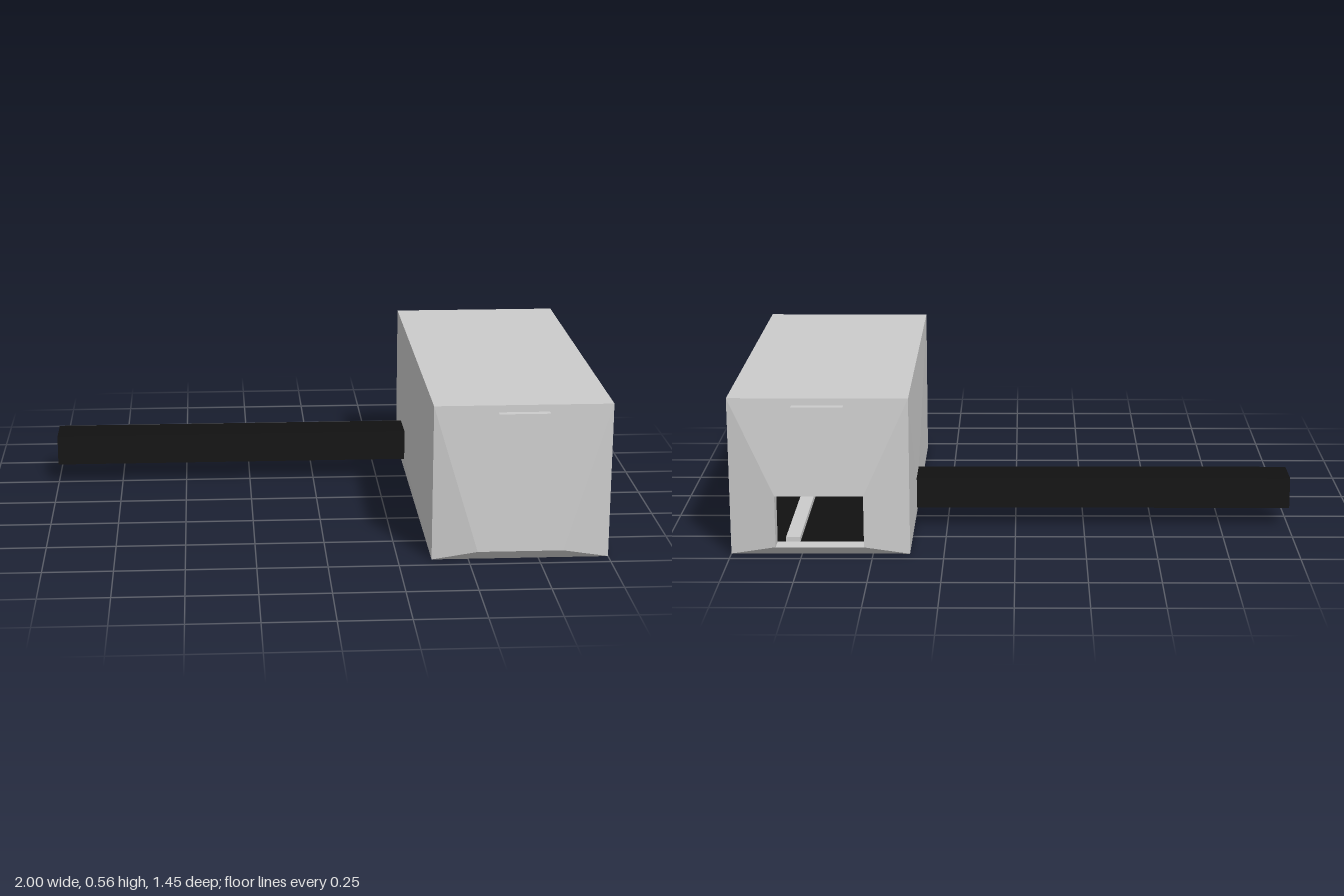
import * as THREE from 'three';

const GREY = 0xcccccc, BLACK = 0x111111, BLUE = 0x5548cc;

const material = (color) => new THREE.MeshStandardMaterial({ color, flatShading: true, side: THREE.DoubleSide });

// Sheet of flat quads; each face is four corners, anticlockwise from outside
function sheet(name, faces) {
  const pos = [];
  for (const [a, b, c, d] of faces) pos.push(...a, ...b, ...c, ...a, ...c, ...d);
  const g = new THREE.BufferGeometry();
  g.setAttribute('position', new THREE.Float32BufferAttribute(pos, 3));
  g.computeVertexNormals();
  const mesh = new THREE.Mesh(g, material(GREY));
  mesh.name = name;
  return mesh;
}

// Four quads joining an outer rectangle to an inner one
const ring = (outer, inner) => outer.map((p, i) => {
  const j = (i + 1) % 4;
  return [p, outer[j], inner[j], inner[i]];
});

function block(name, color, [x0, x1], [y0, y1], [z0, z1]) {
  const mesh = new THREE.Mesh(new THREE.BoxGeometry(x1 - x0, y1 - y0, z1 - z0), material(color));
  mesh.position.set((x0 + x1) / 2, (y0 + y1) / 2, (z0 + z1) / 2);
  mesh.name = name;
  return mesh;
}

export function createModel() {
  const model = new THREE.Group();
  const L = 0.37, R = 1, H = 0.565, D = 0.695;
  const armY = [0.075, 0.188], armZ = [-0.387, -0.237];

  // Rectangles across z and across x, listed anticlockwise from outside
  const backRect = (x0, x1, y0, y1, z) => [[x1, y0, z], [x0, y0, z], [x0, y1, z], [x1, y1, z]];
  const leftRect = (x, y0, y1, z0, z1) => [[x, y0, z0], [x, y0, z1], [x, y1, z1], [x, y1, z0]];

  // Plain walls of the hollow housing
  model.add(
    sheet('roof', [[[L, H, D], [R, H, D], [R, H, -D], [L, H, -D]]]),
    sheet('floor', [[[L, 0, -D], [R, 0, -D], [R, 0, D], [L, 0, D]]]),
    sheet('plainSide', [[[R, 0, D], [R, 0, -D], [R, H, -D], [R, H, D]]]),
  );

  // Front wall, pushed out along a low crease
  const a = [0.53, 0.035, 0.722], b = [0.835, 0.035, 0.722];
  model.add(sheet('frontPanel', ring(
    [[L, 0, D], [R, 0, D], [R, H, D], [L, H, D]], [a, b, b, a])));

  // Back wall sloping out to its opening, with a short inward sleeve
  const rim = backRect(0.53, 0.84, 0.033, 0.22, -0.724);
  model.add(
    sheet('backPanel', ring(backRect(L, R, 0, H, -D), rim)),
    sheet('openingSleeve', ring(rim, backRect(0.53, 0.84, 0.033, 0.22, -0.66))),
  );

  // Side wall sloping out to meet the arm
  model.add(
    sheet('armPanel', ring(leftRect(L, 0, H, -D, D), leftRect(0.36, ...armY, ...armZ))),
    block('arm', BLACK, [-1, 0.40], armY, armZ),
  );

  // Thin lips near the top of both ends
  for (const s of [-1, 1]) {
    const z0 = s * 0.69, z1 = s * 0.722, y = 0.54;
    const lip = [[0.595, y, z0], [0.595, y, z1], [0.775, y, z1], [0.775, y, z0]];
    if (s < 0) lip.reverse();
    model.add(sheet(s > 0 ? 'frontLip' : 'backLip', [lip]));
  }

  // Parts seen through the opening
  model.add(
    block('innerTray', BLACK, [0.42, 0.95], [0.01, 0.03], [-0.64, 0.4]),
    block('innerRail', GREY, [0.76, 0.81], [0.03, 0.05], [-0.66, 0.4]),
    block('innerBlock', BLUE, [0.88, 0.96], [0.03, 0.15], [-0.55, -0.35]),
  );
  return model;
}
